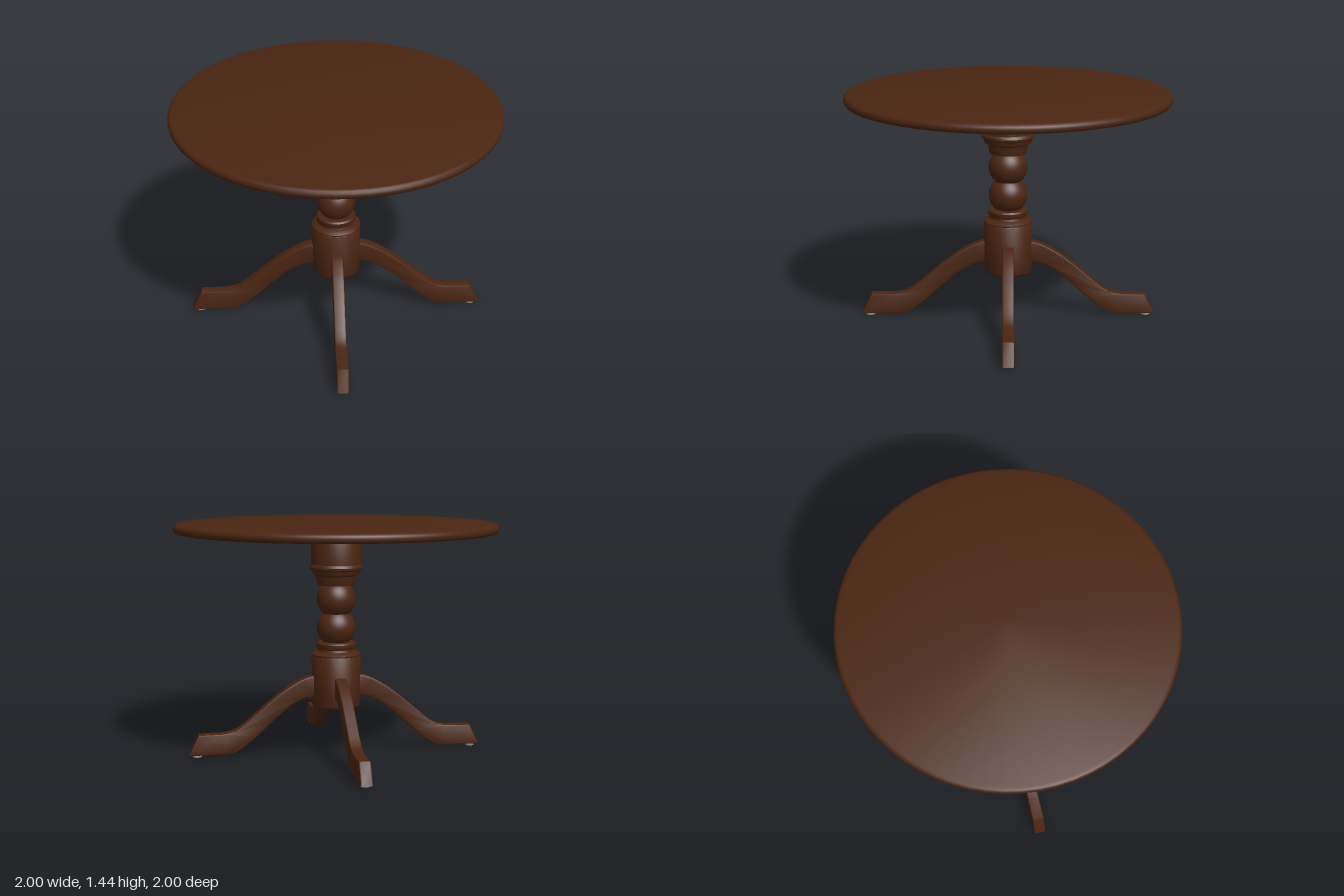
import * as THREE from 'three';
import { toCreasedNormals } from 'three/addons/utils/BufferGeometryUtils.js';

const wood = new THREE.MeshStandardMaterial({ color: 0x4a2511 });
wood.name = 'dark wood';
const metal = new THREE.MeshStandardMaterial({ color: 0x8c8c8c });
metal.name = 'grey metal';

const LEG_ANGLE = THREE.MathUtils.degToRad(36.8);

function addMesh(parent, name, geometry, material, x = 0, y = 0, z = 0) {
  const mesh = new THREE.Mesh(geometry, material);
  mesh.name = name;
  mesh.position.set(x, y, z);
  parent.add(mesh);
  return mesh;
}

// Turned part from [radius, height] pairs, listed bottom to top
function turned(profile, segments = 40) {
  const points = profile.map(([r, y]) => new THREE.Vector2(r, y));
  return toCreasedNormals(new THREE.LatheGeometry(points, segments), 0.6);
}

// Slice of a sphere as profile points between two heights
function ballProfile(radius, centre, bottom, top, steps = 14) {
  const a0 = Math.asin((bottom - centre) / radius);
  const a1 = Math.asin((top - centre) / radius);
  return Array.from({ length: steps + 1 }, (_, i) => {
    const a = a0 + ((a1 - a0) * i) / steps;
    return [radius * Math.cos(a), centre + radius * Math.sin(a)];
  });
}

// Curved leg seen from its side, x runs outwards from the column
function legGeometry() {
  const shape = new THREE.Shape();
  const vectors = (list) => list.map(([x, y]) => new THREE.Vector2(x, y));
  shape.moveTo(0.08, 0.492);
  shape.lineTo(0.13, 0.492);
  shape.splineThru(vectors([[0.2, 0.477], [0.3, 0.425], [0.4, 0.352], [0.5, 0.268],
    [0.59, 0.192], [0.65, 0.157], [0.72, 0.143]]));
  shape.lineTo(0.865, 0.141);
  shape.lineTo(0.927, 0.012);
  shape.lineTo(0.7, 0.012);
  shape.splineThru(vectors([[0.65, 0.018], [0.59, 0.05], [0.5, 0.122], [0.4, 0.215],
    [0.3, 0.297], [0.22, 0.341], [0.12, 0.362]]));
  shape.lineTo(0.08, 0.362);
  shape.closePath();
  const bevel = 0.01;
  const depth = 0.072 - 2 * bevel;
  const geometry = new THREE.ExtrudeGeometry(shape, {
    depth, curveSegments: 16, bevelEnabled: true, bevelSegments: 2,
    bevelSize: bevel, bevelThickness: bevel, bevelOffset: -bevel,
  });
  geometry.translate(0, 0, -depth / 2);
  return toCreasedNormals(geometry, 0.6);
}

export function createModel() {
  const table = new THREE.Group();
  table.name = 'pedestalTable';

  // Round top with a softened rim
  addMesh(table, 'tableTop', turned([
    [0, 1.38], [0.975, 1.38], [0.989, 1.384], [0.997, 1.393], [1, 1.407],
    [0.997, 1.421], [0.989, 1.431], [0.975, 1.436], [0, 1.436],
  ], 64), wood);

  // Mounting plate, spacer and bolts under the top
  addMesh(table, 'mountingPlate', turned([
    [0, 1.346], [0.308, 1.346], [0.308, 1.373], [0, 1.373],
  ], 48), wood);
  addMesh(table, 'spacer', new THREE.CylinderGeometry(0.155, 0.155, 0.008, 40), metal, 0, 1.3765, 0);
  for (const sx of [-1, 1]) {
    for (const sz of [-1, 1]) {
      const bolt = new THREE.Group();
      bolt.name = 'bolt';
      bolt.position.set(sx * 0.18, 0, sz * 0.16);
      addMesh(bolt, 'boltWasher', new THREE.CylinderGeometry(0.024, 0.024, 0.005, 16), metal, 0, 1.344, 0);
      addMesh(bolt, 'boltHead', new THREE.CylinderGeometry(0.014, 0.014, 0.012, 6), metal, 0, 1.336, 0);
      table.add(bolt);
    }
  }

  // Turned column: hub, lower collar, two balls, upper collar, drum
  addMesh(table, 'column', turned([
    [0, 0.288], [0.138, 0.288], [0.147, 0.294], [0.152, 0.306],
    [0.152, 0.605], [0.147, 0.613], [0.153, 0.618], [0.153, 0.624], [0.135, 0.637],
    [0.119, 0.642], [0.115, 0.655], [0.123, 0.668], [0.123, 0.688], [0.115, 0.697],
    ...ballProfile(0.12, 0.787, 0.7, 0.876),
    ...ballProfile(0.12, 0.965, 0.876, 1.055),
    [0.114, 1.055], [0.118, 1.065], [0.12, 1.09], [0.126, 1.112], [0.143, 1.12],
    [0.148, 1.13], [0.15, 1.144], [0.162, 1.153], [0.165, 1.166], [0.16, 1.178],
    [0.154, 1.184], [0.154, 1.334], [0.149, 1.346], [0, 1.346],
  ]), wood);

  // Four curved legs with glide pads
  const geometry = legGeometry();
  for (let i = 0; i < 4; i++) {
    const leg = new THREE.Group();
    leg.name = 'leg';
    leg.rotation.y = LEG_ANGLE + ((i - 1) * Math.PI) / 2;
    addMesh(leg, 'legCurve', geometry, wood);
    addMesh(leg, 'glidePad', new THREE.CylinderGeometry(0.028, 0.028, 0.013, 20), metal, 0.875, 0.0065, 0);
    table.add(leg);
  }

  return table;
}
